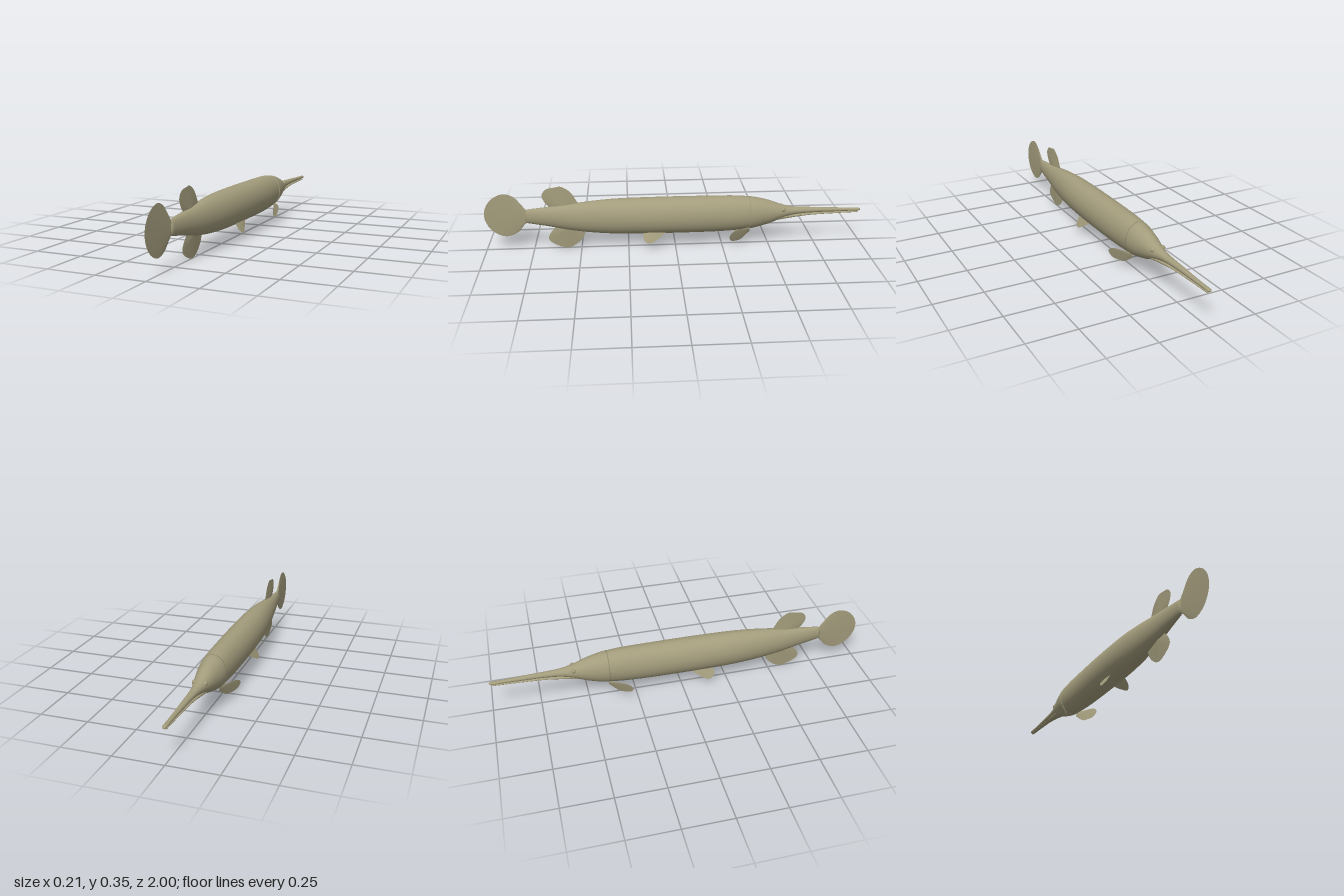
import * as THREE from 'three';

const olive = new THREE.MeshStandardMaterial({ color: 0xa39c7c, side: THREE.DoubleSide });
olive.name = 'olive skin';

function add(parent, name, geometry) {
  const mesh = new THREE.Mesh(geometry, olive);
  mesh.name = name;
  parent.add(mesh);
  return mesh;
}

// Loft of ellipses along z. Stations are [z, top, bottom, halfWidth], in order of rising z.
function loft(stations, steps, cap, sides = 40) {
  const mid = stations.map(([z, t, b]) => new THREE.Vector3(z, (t + b) / 2, (t - b) / 2));
  const wide = stations.map(([z, , , w]) => new THREE.Vector3(z, w, 0));
  const a = new THREE.CatmullRomCurve3(mid, false, 'catmullrom', 0.5);
  const c = new THREE.CatmullRomCurve3(wide, false, 'catmullrom', 0.5);
  const rings = [];
  for (let i = 0; i <= steps; i++) {
    const p = a.getPoint(i / steps), q = c.getPoint(i / steps);
    rings.push([p.x, p.y, p.z, q.y]);
  }
  // Rounded ends
  const end = ([z, y, h, w], k, dz) => [z + dz, y, h * k, w * k];
  const first = rings[0], last = rings[rings.length - 1];
  rings.unshift(end(first, 0, -cap), end(first, 0.5, -cap * 0.87), end(first, 0.85, -cap * 0.5));
  rings.push(end(last, 0.85, cap * 0.5), end(last, 0.5, cap * 0.87), end(last, 0, cap));

  const pos = [], index = [];
  rings.forEach(([z, y, h, w], i) => {
    for (let j = 0; j < sides; j++) {
      const t = (j / sides) * Math.PI * 2;
      pos.push(w * Math.cos(t), y + h * Math.sin(t), z);
      if (i === rings.length - 1) continue;
      const k = (j + 1) % sides, p = i * sides, n = p + sides;
      index.push(p + j, p + k, n + j, p + k, n + k, n + j);
    }
  });
  const g = new THREE.BufferGeometry();
  g.setAttribute('position', new THREE.Float32BufferAttribute(pos, 3));
  g.setIndex(index);
  g.computeVertexNormals();
  return g;
}

// Thin fin: thickest at its root, tapering to a sharp curved rim.
function fin(root, rim, thickness) {
  const pts = new THREE.CatmullRomCurve3(rim.map(p => new THREE.Vector3(...p))).getPoints(36);
  const r = new THREE.Vector3(...root);
  const normal = new THREE.Vector3();
  for (let i = 0; i < pts.length - 1; i++) {
    normal.add(pts[i].clone().sub(r).cross(pts[i + 1].clone().sub(r)));
  }
  normal.normalize().multiplyScalar(thickness);
  const front = r.clone().add(normal), back = r.clone().sub(normal);
  const tris = [];
  for (let i = 0; i < pts.length - 1; i++) {
    tris.push(front, pts[i], pts[i + 1], back, pts[i + 1], pts[i]);
  }
  const g = new THREE.BufferGeometry().setFromPoints(tris);
  g.computeVertexNormals();
  return g;
}

export function createModel() {
  const fish = new THREE.Group();
  fish.name = 'fish';

  // Long body running into the upper jaw
  add(fish, 'body', loft([
    [-0.985, 0.189, 0.174, 0.011], [-0.9, 0.192, 0.173, 0.011], [-0.8, 0.197, 0.172, 0.014],
    [-0.7, 0.201, 0.169, 0.018], [-0.63, 0.206, 0.161, 0.024], [-0.57, 0.219, 0.144, 0.036],
    [-0.5, 0.245, 0.116, 0.052], [-0.42, 0.264, 0.096, 0.065], [-0.32, 0.274, 0.084, 0.072],
    [-0.2, 0.276, 0.079, 0.076], [0, 0.277, 0.078, 0.079], [0.2, 0.276, 0.079, 0.077],
    [0.33, 0.273, 0.083, 0.07], [0.45, 0.264, 0.093, 0.058], [0.56, 0.251, 0.109, 0.044],
    [0.66, 0.24, 0.13, 0.031], [0.73, 0.233, 0.143, 0.022], [0.775, 0.228, 0.151, 0.016],
  ], 102, 0.013));

  // Slim lower jaw below the mouth line
  add(fish, 'lowerJaw', loft([
    [-0.975, 0.173, 0.165, 0.008], [-0.85, 0.171, 0.162, 0.01], [-0.72, 0.169, 0.157, 0.014],
    [-0.62, 0.168, 0.146, 0.022], [-0.55, 0.165, 0.136, 0.03],
  ], 32, 0.012, 24));

  // Gill cover ending in a low ridge
  add(fish, 'gillCover', loft([
    [-0.5, 0.243, 0.118, 0.0505], [-0.46, 0.2555, 0.1045, 0.06],
    [-0.42, 0.2645, 0.0945, 0.0668], [-0.39, 0.2685, 0.0895, 0.0702],
  ], 18, 0.008));

  // Tail fin, back fin and belly fin on the centre line; points are [z, y]
  const flat = list => list.map(([z, y]) => [0, y, z]);
  add(fish, 'tailFin', fin([0, 0.19, 0.76], flat([
    [0.765, 0.22], [0.79, 0.234], [0.835, 0.295], [0.89, 0.317], [0.955, 0.29], [0.995, 0.23],
    [0.995, 0.167], [0.955, 0.105], [0.89, 0.078], [0.83, 0.1], [0.79, 0.146], [0.765, 0.16],
  ]), 0.008));
  add(fish, 'dorsalFin', fin([0, 0.235, 0.59], flat([
    [0.5, 0.24], [0.52, 0.275], [0.548, 0.32], [0.595, 0.35], [0.625, 0.347], [0.675, 0.335],
    [0.695, 0.305], [0.688, 0.275], [0.655, 0.23],
  ]), 0.007));
  add(fish, 'analFin', fin([0, 0.12, 0.565], flat([
    [0.475, 0.11], [0.485, 0.07], [0.525, 0.025], [0.575, 0.004], [0.64, 0.026],
    [0.67, 0.052], [0.668, 0.078], [0.625, 0.135],
  ]), 0.007));

  // Paired fins and eyes
  const pectoral = (x, y) => [x, y, -0.385 + 1.6 * (x - 0.045) - 0.5 * (y - 0.113)];
  const pelvic = (z, y) => [0.042 + (0.095 - y) * 0.6, y, z];
  for (const side of [1, -1]) {
    const name = side > 0 ? 'left' : 'right';
    const mirror = p => [p[0] * side, p[1], p[2]];
    add(fish, name + 'PectoralFin', fin(mirror(pectoral(0.036, 0.1)), [
      [0.042, 0.112], [0.07, 0.113], [0.094, 0.112], [0.104, 0.095], [0.099, 0.074],
      [0.084, 0.053], [0.066, 0.046], [0.05, 0.046], [0.03, 0.084],
    ].map(p => mirror(pectoral(...p))), 0.003));
    add(fish, name + 'PelvicFin', fin(mirror(pelvic(0.1, 0.11)), [
      [0.045, 0.105], [0.06, 0.088], [0.1, 0.062], [0.138, 0.045], [0.164, 0.055],
      [0.172, 0.08], [0.168, 0.105],
    ].map(p => mirror(pelvic(...p))), 0.005));
    const eye = add(fish, name + 'Eye', new THREE.SphereGeometry(0.012, 20, 14));
    eye.position.set(side * 0.027, 0.2, -0.572);
  }
  return fish;
}
